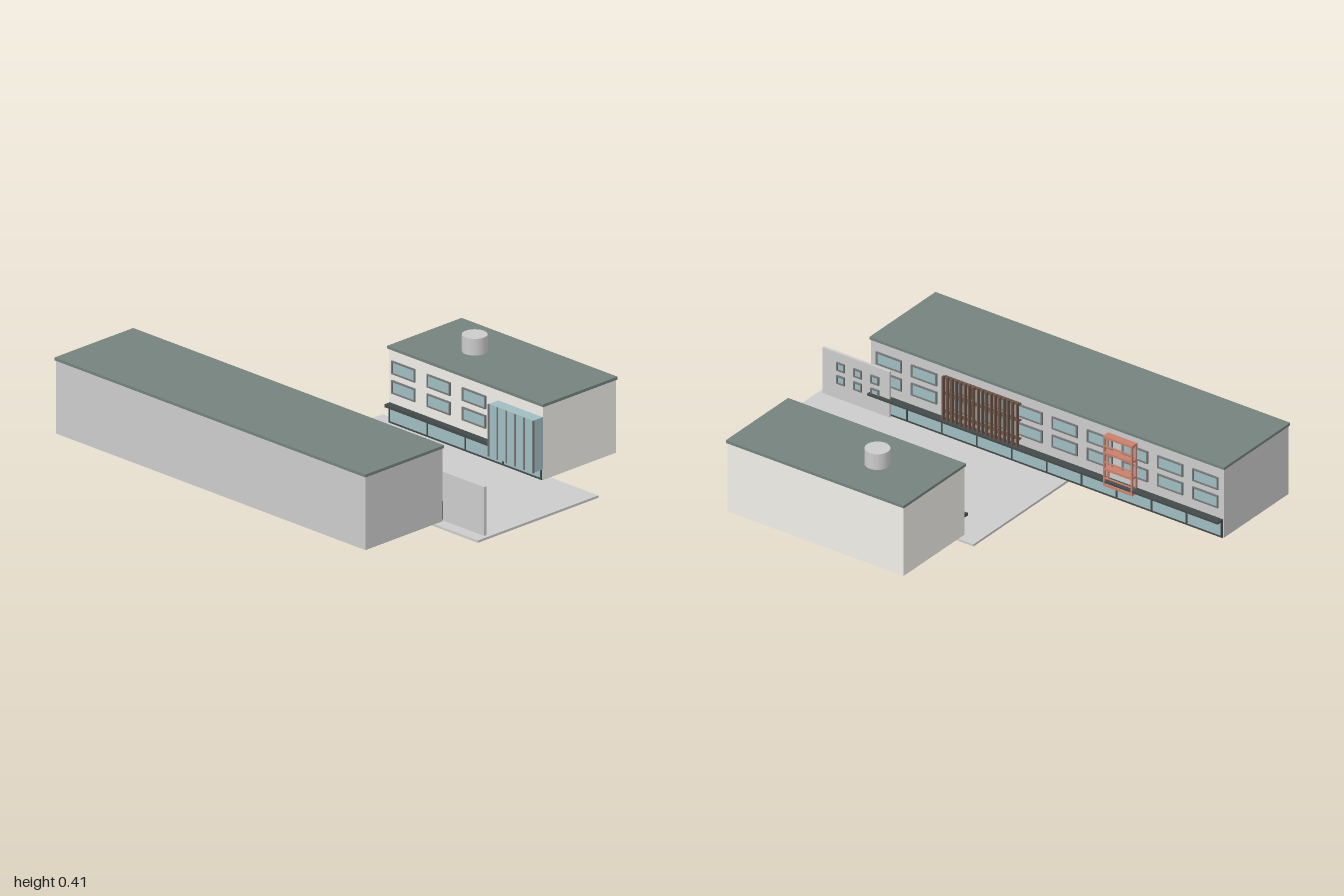
import * as THREE from 'three';

const mat = (color) => new THREE.MeshStandardMaterial({ color });
const M = {
  grey: mat(0xcccccc), cream: mat(0xf0eee8), roof: mat(0x74827d), trim: mat(0x444a4a),
  glass: mat(0x9fbcc0), frame: mat(0x77787a), red: mat(0xc9806c), brown: mat(0x6b5347),
};

// Box given by its limits on each axis
function box(parent, name, material, x0, x1, y0, y1, z0, z1) {
  const mesh = new THREE.Mesh(new THREE.BoxGeometry(x1 - x0, y1 - y0, z1 - z0), material);
  mesh.position.set((x0 + x1) / 2, (y0 + y1) / 2, (z0 + z1) / 2);
  mesh.name = name;
  parent.add(mesh);
  return mesh;
}

function group(parent, name) {
  const g = new THREE.Group();
  g.name = name;
  parent.add(g);
  return g;
}

// Layer in front of a wall at z, reaching from depth a to depth b in direction dir
function layer(parent, name, material, x0, x1, y0, y1, z, dir, a, b) {
  const za = z + dir * a, zb = z + dir * b;
  return box(parent, name, material, x0, x1, y0, y1, Math.min(za, zb), Math.max(za, zb));
}

// Framed window with a pane set back inside the frame
function windowUnit(parent, cx, cy, w, h, z, dir) {
  const g = group(parent, 'window');
  const t = 0.006, x0 = cx - w / 2, x1 = cx + w / 2, y0 = cy - h / 2, y1 = cy + h / 2;
  layer(g, 'pane', M.glass, x0, x1, y0, y1, z, dir, 0, 0.003);
  layer(g, 'frameHead', M.frame, x0 - t, x1 + t, y1, y1 + t, z, dir, 0, 0.007);
  layer(g, 'frameSill', M.frame, x0 - t, x1 + t, y0 - t, y0, z, dir, 0, 0.007);
  layer(g, 'frameSide', M.frame, x0 - t, x0, y0, y1, z, dir, 0, 0.007);
  layer(g, 'frameSide', M.frame, x1, x1 + t, y0, y1, z, dir, 0, 0.007);
}

// Ground floor glazing with mullions, below a thin canopy
function shopFront(parent, x0, x1, bays, z, dir, reach) {
  const g = group(parent, 'groundFloor');
  layer(g, 'glazing', M.glass, x0, x1, 0.015, 0.082, z, dir, 0, 0.004);
  layer(g, 'plinth', M.trim, x0, x1, 0.01, 0.017, z, dir, 0, 0.006);
  for (let i = 0; i <= bays; i++) {
    const x = x0 + 0.003 + (x1 - x0 - 0.006) * i / bays;
    layer(g, 'mullion', M.trim, x - 0.003, x + 0.003, 0.015, 0.085, z, dir, 0, 0.008);
  }
  layer(g, 'canopy', M.trim, x0, x1, 0.085, 0.094, z, dir, 0, reach);
}

const ROWS = [0.168, 0.252];

function longBuilding(root) {
  const g = group(root, 'longBuilding');
  const z = 0.285;
  box(g, 'walls', M.grey, -0.995, 0.755, 0.01, 0.326, z, 0.72);
  box(g, 'roof', M.roof, -1, 0.76, 0.326, 0.338, 0.28, 0.725);
  for (const y of ROWS)
    for (let i = 0; i < 10; i++)
      windowUnit(g, -0.905 + i * 0.1744, y, 0.115, 0.045, z, -1);
  shopFront(g, -0.99, 0.75, 10, z, -1, 0.035);

  // Vertical sun slats on two rails
  const s = group(g, 'sunScreen');
  for (let i = 0; i < 18; i++) {
    const x = 0.015 + i * 0.0215;
    box(s, 'slat', M.brown, x - 0.004, x + 0.004, 0.095, 0.295, 0.256, 0.27);
  }
  for (const y of [0.125, 0.21, 0.285])
    box(s, 'rail', M.brown, 0.01, 0.387, y - 0.003, y + 0.003, 0.268, z);

  // Projecting red balcony frame
  const b = group(g, 'balconyTower');
  const x0 = -0.565, x1 = -0.42;
  for (const y of [0.07, 0.143, 0.218, 0.29])
    box(b, 'floor', M.red, x0, x1, y, y + 0.01, 0.25, z);
  for (const x of [x0, x1 - 0.008]) {
    box(b, 'post', M.red, x, x + 0.008, 0.07, 0.3, 0.25, 0.26);
    box(b, 'wallPost', M.red, x, x + 0.008, 0.07, 0.3, 0.276, z);
  }
  for (const y of [0.105, 0.178, 0.253])
    box(b, 'handrail', M.red, x0, x1, y, y + 0.005, 0.25, 0.255);
}

function shortBuilding(root) {
  const g = group(root, 'shortBuilding');
  const z = -0.31;
  box(g, 'walls', M.cream, -0.145, 0.728, 0.01, 0.326, -0.72, z);
  box(g, 'roof', M.roof, -0.15, 0.733, 0.326, 0.338, -0.725, -0.305);
  for (const y of ROWS)
    for (let i = 0; i < 3; i++)
      windowUnit(g, -0.06 + i * 0.2, y, 0.12, 0.045, z, 1);
  shopFront(g, -0.14, 0.725, 4, z, 1, 0.015);
  box(g, 'canopy', M.trim, -0.14, 0.47, 0.083, 0.096, z, -0.28);

  // Glazed bay with vertical fins
  const b = group(g, 'glassBay');
  box(b, 'glass', M.glass, 0.474, 0.726, 0.055, 0.28, z, -0.257);
  for (let i = 0; i <= 5; i++) {
    const x = 0.473 + i * 0.0508;
    box(b, 'fin', M.frame, x - 0.003, x + 0.003, 0.055, 0.28, -0.258, -0.252);
  }

  const drum = new THREE.Mesh(new THREE.CylinderGeometry(0.052, 0.052, 0.072, 24), M.grey);
  drum.name = 'roofDrum';
  drum.position.set(0.135, 0.374, -0.515);
  g.add(drum);
}

function gateWall(root) {
  const g = group(root, 'gateWall');
  box(g, 'panel', M.grey, 0.65, 0.983, 0.01, 0.22, 0.265, 0.277);
  for (const y of [0.1, 0.16])
    for (const x of [0.72, 0.805, 0.89])
      windowUnit(g, x, y, 0.028, 0.026, 0.265, -1);
}

export function createModel() {
  const root = new THREE.Group();
  root.name = 'buildings';
  box(root, 'plaza', M.grey, -0.22, 1, 0, 0.01, -0.35, 0.33);
  longBuilding(root);
  shortBuilding(root);
  gateWall(root);
  return root;
}
